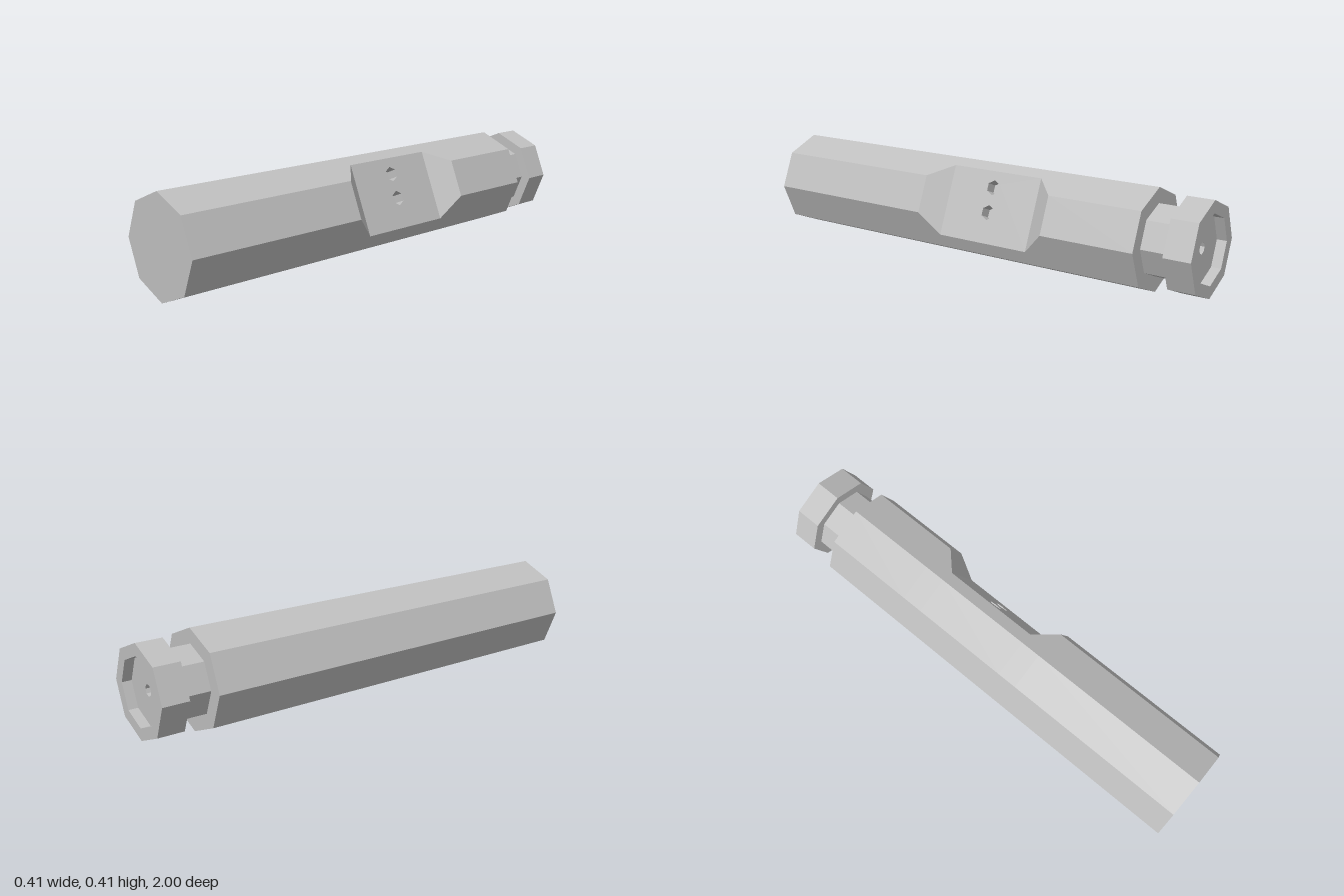
import * as THREE from 'three';
import { mergeGeometries } from 'three/addons/utils/BufferGeometryUtils.js';

const R = 0.207;                       // body radius, corner to corner
const TILT = Math.PI / 8;              // direction of the notched side
const FLAT = 0.121;                    // distance of the notch floor from the axis
const HALF = R * Math.cos(TILT) * Math.SQRT2 - FLAT; // half width of the notch floor

// Faceted copy with hard edges
function facet(geometry) {
  const g = geometry.index ? geometry.toNonIndexed() : geometry;
  g.deleteAttribute('uv');
  g.computeVertexNormals();
  return g;
}

const lathe = (points, sides) =>
  new THREE.LatheGeometry(points.map(([r, y]) => new THREE.Vector2(r, y)), sides).rotateX(Math.PI / 2);

// Octagon outline; in the notch two corners slide along the neighbouring sides
function section(z, notched) {
  const pts = [];
  for (let i = 0; i < 8; i++) {
    const a = i * Math.PI / 4;
    pts.push(new THREE.Vector3(R * Math.cos(a), R * Math.sin(a), z));
  }
  if (notched) {
    [-HALF, HALF].forEach((v, i) => pts[i].set(
      FLAT * Math.cos(TILT) - v * Math.sin(TILT),
      FLAT * Math.sin(TILT) + v * Math.cos(TILT), z));
  }
  return pts;
}

function bodyGeometry() {
  const rings = [
    section(1), section(0.21), section(0.125, true),
    section(-0.295, true), section(-0.385), section(-0.78),
  ];
  const verts = [];
  for (let s = 0; s < rings.length - 1; s++) {
    for (let i = 0; i < 8; i++) {
      if (s === 2 && i === 0) continue; // the drilled panel goes here
      const j = (i + 1) % 8, f = rings[s], b = rings[s + 1];
      [f[i], b[i], f[j], f[j], b[i], b[j]].forEach(p => verts.push(p.x, p.y, p.z));
    }
  }
  const sides = new THREE.BufferGeometry();
  sides.setAttribute('position', new THREE.Float32BufferAttribute(verts, 3));
  sides.computeVertexNormals();
  const front = facet(new THREE.CircleGeometry(R, 8).translate(0, 0, 1));
  const back = facet(new THREE.CircleGeometry(R, 8).rotateY(Math.PI).translate(0, 0, -0.78));
  return mergeGeometries([sides, front, back]);
}

// Notch floor with two six-sided pockets
function panelGeometry() {
  const r = 0.031, depth = 0.05, u = 0.083;
  const shape = new THREE.Shape([
    new THREE.Vector2(-0.125, -HALF), new THREE.Vector2(0.295, -HALF),
    new THREE.Vector2(0.295, HALF), new THREE.Vector2(-0.125, HALF),
  ]);
  const pockets = [0.081, -0.023].map(v => {
    const ring = [];
    for (let k = 0; k < 6; k++) {
      const a = k * Math.PI / 3;
      ring.push(new THREE.Vector2(u + r * Math.sin(a), v + r * Math.cos(a)));
    }
    shape.holes.push(new THREE.Path(ring));
    return facet(lathe([[r, 0], [r, -depth], [0, -depth]], 6).translate(u, v, 0));
  });
  const c = Math.cos(TILT), s = Math.sin(TILT);
  const frame = new THREE.Matrix4().makeBasis(
    new THREE.Vector3(0, 0, -1), new THREE.Vector3(-s, c, 0), new THREE.Vector3(c, s, 0));
  frame.setPosition(c * FLAT, s * FLAT, 0);
  return mergeGeometries([facet(new THREE.ShapeGeometry(shape)), ...pockets]).applyMatrix4(frame);
}

export function createModel() {
  const group = new THREE.Group();
  group.name = 'handle';
  const metal = new THREE.MeshStandardMaterial({ color: 0xbfbfbf });
  metal.name = 'grey metal';

  const add = (name, geometry) => {
    const mesh = new THREE.Mesh(geometry, metal);
    mesh.name = name;
    mesh.position.y = R;
    group.add(mesh);
  };

  add('body', bodyGeometry());
  add('controlPanel', panelGeometry());
  add('neck', facet(lathe([[0.145, -0.89], [0.145, -0.78]], 8)));
  // Cap with a shallow recess and a small centre hole
  add('emitterCap', facet(lathe([
    [0, -0.91], [0.024, -0.91], [0.024, -0.96], [0.14, -0.96],
    [0.14, -1], [0.19, -1], [0.19, -0.89], [0.145, -0.89],
  ], 8)));
  return group;
}
